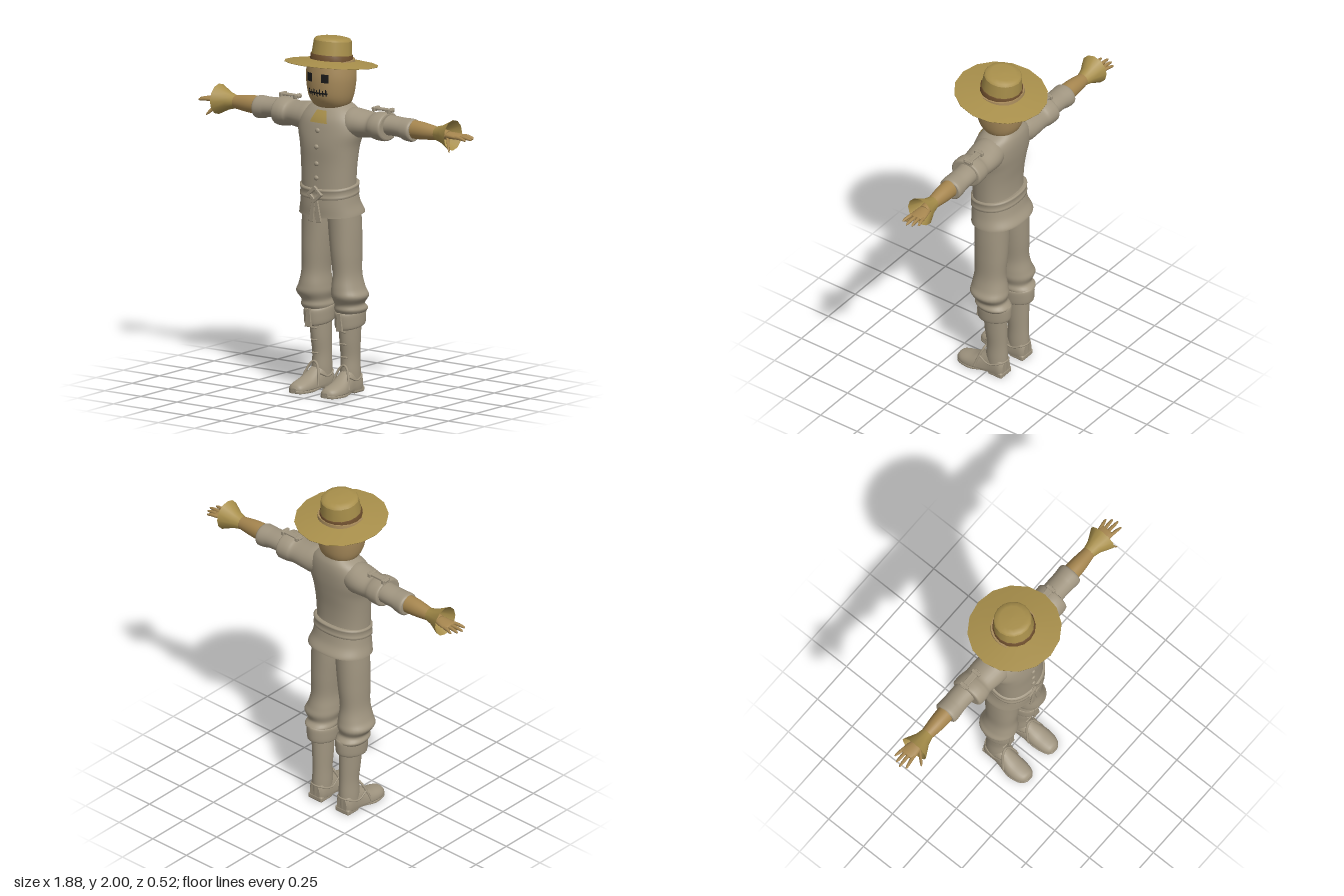
import * as THREE from 'three';
import { RoundedBoxGeometry } from 'three/addons/geometries/RoundedBoxGeometry.js';

const paint = (name, color, side = THREE.FrontSide) => {
  const m = new THREE.MeshStandardMaterial({ color, side });
  m.name = name;
  return m;
};

// Catmull-Rom refinement of cross-section rows
function refine(rows, steps = 5) {
  const out = [], at = i => rows[Math.max(0, Math.min(rows.length - 1, i))];
  for (let i = 0; i < rows.length - 1; i++) for (let s = 0; s < steps; s++) {
    const t = s / steps, [a, b, c, d] = [at(i - 1), at(i), at(i + 1), at(i + 2)];
    out.push(b.map((_, k) => 0.5 * (2 * b[k] + (c[k] - a[k]) * t + (2 * a[k] - 5 * b[k] + 4 * c[k] - d[k]) * t * t
      + (3 * b[k] - a[k] - 3 * c[k] + d[k]) * t ** 3)));
  }
  out.push(rows[rows.length - 1]);
  return out;
}

// Rows run upward along the axis: y [y,cx,cz,rx,rz], x [x,cz,cy,rz,ry], z [z,cy,cx,ry,rx]
function loft(rows, { axis = 'y', n = 28, p = 2, tilt = 0, caps = true, floor = -1 } = {}) {
  const pos = [], idx = [];
  const put = (t, u, v) => {
    const q = axis === 'y' ? [u, t, v] : axis === 'x' ? [t, v, u] : [v, Math.max(u, floor), t];
    pos.push(...q);
  };
  const ring = ([t, cu, cv, ru, rv]) => {
    for (let j = 0; j < n; j++) {
      const a = j / n * Math.PI * 2, c = Math.cos(a), s = Math.sin(a);
      const v = rv * Math.sign(s) * Math.abs(s) ** (2 / p);
      put(t + tilt * v, cu + ru * Math.sign(c) * Math.abs(c) ** (2 / p), cv + v);
    }
  };
  rows.forEach(ring);
  for (let i = 0; i < rows.length - 1; i++) for (let j = 0; j < n; j++) {
    const a = i * n + j, b = i * n + (j + 1) % n;
    idx.push(a, a + n, b, b, a + n, b + n);
  }
  if (caps) [rows[0], rows[rows.length - 1]].forEach((row, end) => {
    const base = pos.length / 3;
    ring(row);
    put(row[0], row[1], row[2]);
    for (let j = 0; j < n; j++) {
      const k = (j + 1) % n;
      idx.push(base + n, base + (end ? k : j), base + (end ? j : k));
    }
  });
  const g = new THREE.BufferGeometry();
  g.setAttribute('position', new THREE.Float32BufferAttribute(pos, 3));
  g.setIndex(idx);
  g.computeVertexNormals();
  return g;
}

// Front depth of a lofted body at x, y
function frontZ(rows, p, x, y) {
  let i = 0;
  while (i < rows.length - 2 && rows[i + 1][0] < y) i++;
  const [a, b] = [rows[i], rows[i + 1]], t = (y - a[0]) / (b[0] - a[0]);
  const [, , cz, rx, rz] = a.map((v, k) => v + (b[k] - v) * t);
  return cz + rz * Math.max(0, 1 - Math.abs(x / rx) ** p) ** (1 / p);
}

// Thin patch that follows the front of a lofted body
function patch(rows, p, cx, cy, w, h, off = 0.004, topScale = 1) {
  const g = new THREE.PlaneGeometry(w, h, 6, 6), q = g.attributes.position;
  for (let i = 0; i < q.count; i++) {
    const f = 1 + (topScale - 1) * (q.getY(i) / h + 0.5);
    const x = q.getX(i) * f + cx, y = q.getY(i) + cy;
    q.setXYZ(i, x, y, frontZ(rows, p, x, y) + off);
  }
  g.computeVertexNormals();
  return g;
}

function mirror(geo) {
  const g = geo.clone().scale(-1, 1, 1);
  const old = g.index ? Array.from(g.index.array) : [...Array(g.attributes.position.count).keys()];
  for (let i = 0; i < old.length; i += 3) [old[i], old[i + 1]] = [old[i + 1], old[i]];
  g.setIndex(old);
  return g;
}

const box = (w, h, d, x, y, z, r = 0.004) => new RoundedBoxGeometry(w, h, d, 2, r).translate(x, y, z);
const tube = (pts, r, n = 14) => new THREE.TubeGeometry(new THREE.CatmullRomCurve3(pts.map(q => new THREE.Vector3(...q))), n, r, 7);
const outline = pts => new THREE.Shape(pts.map(q => new THREE.Vector2(...q)));
const slab = (shape, depth, bevel = 0.003) => new THREE.ExtrudeGeometry(shape, { depth, bevelSize: bevel, bevelThickness: bevel, bevelSegments: 1 });

export function createModel() {
  const model = new THREE.Group();
  const cloth = paint('cloth', 0xa09580), straw = paint('straw', 0xa88f4b, THREE.DoubleSide);
  const sack = paint('sackcloth', 0xa88b5b), skin = paint('armTan', 0xa6864f);
  const band = paint('bandBrown', 0x70502e), black = paint('black', 0x191919, THREE.DoubleSide);
  const add = (name, geo, mat, parent = model) => {
    const m = new THREE.Mesh(geo, mat);
    m.name = name;
    parent.add(m);
    return m;
  };
  const pair = (name, geo, mat) => {
    add(name + 'Left', geo, mat);
    add(name + 'Right', mirror(geo), mat);
  };

  // Hat, tipped back
  const hat = new THREE.Group();
  hat.name = 'hat';
  hat.position.y = 1.85;
  hat.rotation.x = -0.108;
  model.add(hat);
  const lathe = pts => new THREE.LatheGeometry(pts.map(q => new THREE.Vector2(...q)), 16);
  add('brimTop', lathe([[0.262, 0], [0.2, 0.011], [0.11, 0.022]]), straw, hat);
  add('brimUnder', lathe([[0.11, 0.012], [0.2, 0.002], [0.262, -0.002], [0.262, 0]]), straw, hat);
  add('crown', lathe([[0.116, 0.02], [0.113, 0.06], [0.106, 0.128]]), straw, hat);
  add('crownTop', lathe([[0.106, 0.128], [0.097, 0.141], [0.07, 0.148], [0, 0.15]]), straw, hat);
  add('hatBand', lathe([[0.12, 0.018], [0.119, 0.05], [0.112, 0.052]]), band, hat);

  // Sack head with eyes and stitched mouth
  const head = refine([[1.605, 0, -0.008, 0.07, 0.068], [1.625, 0, -0.005, 0.102, 0.095], [1.68, 0, 0, 0.125, 0.122],
    [1.78, 0, 0, 0.138, 0.133], [1.875, 0, 0, 0.128, 0.126]]);
  add('head', loft(head, { p: 2.2, n: 32 }), sack);
  add('neck', loft([[1.54, 0, -0.025, 0.062, 0.06], [1.63, 0, -0.02, 0.065, 0.062]]), sack);
  pair('eye', patch(head, 2.2, 0.052, 1.788, 0.042, 0.048), black);
  add('mouth', patch(head, 2.2, 0, 1.702, 0.126, 0.009), black);
  for (let i = -3; i <= 3; i++)
    add('mouthStitch', patch(head, 2.2, i * 0.0185, 1.703 + (i % 2 ? 0.004 : -0.002), 0.007, 0.036, 0.005), black);

  // Shirt
  const torso = refine([[1.12, 0, 0.015, 0.16, 0.125], [1.2, 0, 0.02, 0.162, 0.118], [1.3, 0, 0.018, 0.168, 0.118],
    [1.4, 0, 0.012, 0.179, 0.125], [1.48, 0, 0.002, 0.2, 0.125], [1.55, 0, -0.008, 0.19, 0.118],
    [1.6, 0, -0.02, 0.15, 0.1], [1.632, 0, -0.028, 0.095, 0.078]]);
  add('shirt', loft(torso, { p: 2.25, n: 40 }), cloth);
  add('shirtSkirt', loft(refine([[1.015, 0, -0.008, 0.19, 0.15], [1.03, 0, -0.006, 0.187, 0.148], [1.08, 0, 0.008, 0.173, 0.136],
    [1.16, 0, 0.015, 0.163, 0.126]]), { p: 2.25, n: 40, tilt: -0.08 }), cloth);
  add('strawCollar', patch(torso, 2.25, 0, 1.566, 0.118, 0.066, 0.006, 0.55), straw);
  for (const y of [1.49, 1.4, 1.305, 1.225])
    add('button', new THREE.SphereGeometry(0.014, 12, 8).scale(1.1, 1, 0.7).translate(0, y, frontZ(torso, 2.25, 0, y)), cloth);

  // Belt, buckle and hanging ends
  add('belt', loft([[1.122, 0, 0.014, 0.165, 0.128], [1.125, 0, 0.014, 0.173, 0.136], [1.138, 0, 0.014, 0.173, 0.136], [1.142, 0, 0.014, 0.168, 0.131],
    [1.165, 0, 0.014, 0.168, 0.131], [1.169, 0, 0.014, 0.173, 0.136], [1.18, 0, 0.014, 0.173, 0.136], [1.183, 0, 0.014, 0.163, 0.126]],
  { p: 2.25, n: 40, tilt: -0.14 }), cloth);
  const diamond = r => [[-r, 0], [0, -r * 0.9], [r, 0], [0, r * 0.9]];
  const buckle = outline(diamond(0.05));
  buckle.holes.push(new THREE.Path(diamond(0.03).reverse().map(q => new THREE.Vector2(...q))));
  add('buckle', slab(buckle, 0.01).translate(0, 1.135, 0.145), cloth);
  const end = slab(outline([[0, 1.1], [0.018, 1.1], [0.042, 0.985], [0.012, 0.98]]), 0.005).translate(0, 0, 0.147);
  pair('beltEnd', end, cloth);

  // Sleeves and shoulder straps
  pair('upperSleeve', loft(refine([[0.06, -0.02, 1.545, 0.07, 0.06], [0.14, -0.02, 1.53, 0.094, 0.085], [0.2, -0.025, 1.53, 0.096, 0.078], [0.27, -0.03, 1.53, 0.09, 0.07],
    [0.3, -0.03, 1.532, 0.096, 0.076], [0.33, -0.03, 1.532, 0.099, 0.081], [0.368, -0.032, 1.532, 0.097, 0.08], [0.376, -0.033, 1.532, 0.085, 0.07]]),
  { axis: 'x' }), cloth);
  pair('lowerSleeve', loft(refine([[0.34, -0.04, 1.54, 0.068, 0.058], [0.4, -0.045, 1.54, 0.066, 0.056], [0.46, -0.045, 1.537, 0.066, 0.056],
    [0.49, -0.045, 1.532, 0.068, 0.062], [0.53, -0.046, 1.53, 0.07, 0.064], [0.542, -0.046, 1.53, 0.062, 0.057]]), { axis: 'x' }), cloth);
  pair('shoulderStrap', box(0.135, 0.012, 0.036, 0.32, 1.622, -0.05), cloth);
  for (const x of [0.272, 0.372]) pair('strapLoop', box(0.02, 0.024, 0.056, x, 1.62, -0.05), cloth);

  // Forearms, straw wrist flares and hands
  pair('forearm', loft(refine([[0.5, -0.045, 1.537, 0.05, 0.052], [0.6, -0.045, 1.537, 0.047, 0.049], [0.7, -0.046, 1.535, 0.036, 0.036],
    [0.78, -0.046, 1.535, 0.03, 0.024]]), { axis: 'x' }), skin);
  pair('wristFlare', loft([[0.69, -0.046, 1.535, 0.036, 0.036], [0.74, -0.045, 1.536, 0.048, 0.05], [0.81, -0.043, 1.538, 0.084, 0.086]],
    { axis: 'x', n: 12, caps: false }), straw);
  pair('palm', loft(refine([[0.76, -0.048, 1.534, 0.03, 0.02], [0.81, -0.052, 1.534, 0.042, 0.018], [0.855, -0.054, 1.533, 0.046, 0.014],
    [0.865, -0.054, 1.533, 0.042, 0.009]]), { axis: 'x', n: 16 }), skin);
  [[0.908, -0.1], [0.93, -0.072], [0.94, -0.042], [0.925, -0.008]].forEach(([tip, z]) => {
    const z0 = -0.054 + (z + 0.054) * 0.75;
    pair('finger', loft(refine([[0.84, z0, 1.533, 0.01, 0.01], [(0.84 + tip) / 2, (z + z0) / 2, 1.533, 0.01, 0.01], [tip - 0.01, z, 1.528, 0.007, 0.007],
      [tip, z, 1.527, 0.002, 0.002]], 3), { axis: 'x', n: 8 }), skin);
  });
  pair('thumb', loft(refine([[0.775, -0.04, 1.525, 0.015, 0.015], [0.805, -0.005, 1.5, 0.013, 0.014], [0.83, 0.022, 1.472, 0.01, 0.011], [0.842, 0.033, 1.458, 0.003, 0.004]], 3),
    { axis: 'x', n: 8 }), skin);

  // Trousers with gathered knees
  pair('trouserLeg', loft(refine([[0.46, 0.113, -0.03, 0.076, 0.092], [0.48, 0.115, -0.03, 0.084, 0.104], [0.51, 0.114, -0.018, 0.077, 0.092], [0.555, 0.122, -0.012, 0.097, 0.11],
    [0.6, 0.113, -0.008, 0.086, 0.104], [0.68, 0.107, -0.006, 0.074, 0.092], [0.8, 0.1, -0.006, 0.08, 0.098],
    [0.93, 0.092, -0.006, 0.086, 0.101], [1.06, 0.085, -0.004, 0.085, 0.105]]), { p: 2.15 }), cloth);

  // Boots
  pair('bootCuff', loft(refine([[0.375, 0.106, -0.034, 0.06, 0.085], [0.385, 0.106, -0.034, 0.074, 0.1], [0.43, 0.106, -0.034, 0.078, 0.104],
    [0.465, 0.106, -0.034, 0.077, 0.102], [0.475, 0.106, -0.034, 0.066, 0.09]]), { tilt: -0.13 }), cloth);
  pair('cuffFlap', slab(outline([[0.096, 0.46], [0.116, 0.46], [0.128, 0.362], [0.088, 0.362]]), 0.006).translate(0, 0, 0.064), cloth);
  pair('bootShaft', loft(refine([[0.03, 0.1, -0.05, 0.052, 0.06], [0.11, 0.099, -0.046, 0.053, 0.065], [0.2, 0.098, -0.046, 0.05, 0.062],
    [0.3, 0.1, -0.04, 0.054, 0.069], [0.42, 0.103, -0.038, 0.058, 0.072]])), cloth);
  for (const y of [0.205, 0.28, 0.35]) pair('bootLace', box(0.042, 0.01, 0.012, 0.1, y, y * 0.1 - 0.005), cloth);
  pair('foot', loft(refine([[-0.109, 0.05, 0.1, 0.05, 0.035], [-0.085, 0.05, 0.1, 0.085, 0.052], [-0.02, 0.04, 0.1, 0.108, 0.054], [0.03, 0.03, 0.105, 0.09, 0.057],
    [0.09, 0.025, 0.111, 0.058, 0.062], [0.15, 0.022, 0.112, 0.043, 0.057], [0.185, 0.02, 0.11, 0.033, 0.042], [0.2, 0.02, 0.109, 0.014, 0.02]]),
  { axis: 'z', p: 2.2, floor: 0.018 }), cloth);
  const sole = loft(refine([[-0.04, 0.024, 0.1, 0.008, 0.048], [0.03, 0.018, 0.105, 0.009, 0.056], [0.09, 0.011, 0.111, 0.01, 0.064],
    [0.15, 0.011, 0.112, 0.01, 0.058], [0.185, 0.012, 0.11, 0.01, 0.044], [0.203, 0.015, 0.109, 0.009, 0.02]]), { axis: 'z', p: 5 });
  pair('sole', sole, cloth);
  pair('heel', box(0.1, 0.034, 0.094, 0.1, 0.017, -0.064, 0.01), cloth);
  pair('instepGuard', tube([[0.045, 0.035, 0.06], [0.058, 0.095, 0.042], [0.08, 0.145, 0.024], [0.103, 0.16, 0.02], [0.126, 0.145, 0.024],
    [0.15, 0.095, 0.042], [0.168, 0.035, 0.06]], 0.007, 28), cloth);
  pair('ankleStrap', tube([[0.152, 0.1, 0.035], [0.156, 0.075, -0.03], [0.138, 0.095, -0.095], [0.1, 0.1, -0.112], [0.06, 0.095, -0.095],
    [0.044, 0.075, -0.03], [0.054, 0.1, 0.035]], 0.005, 28), cloth);

  return model;
}
